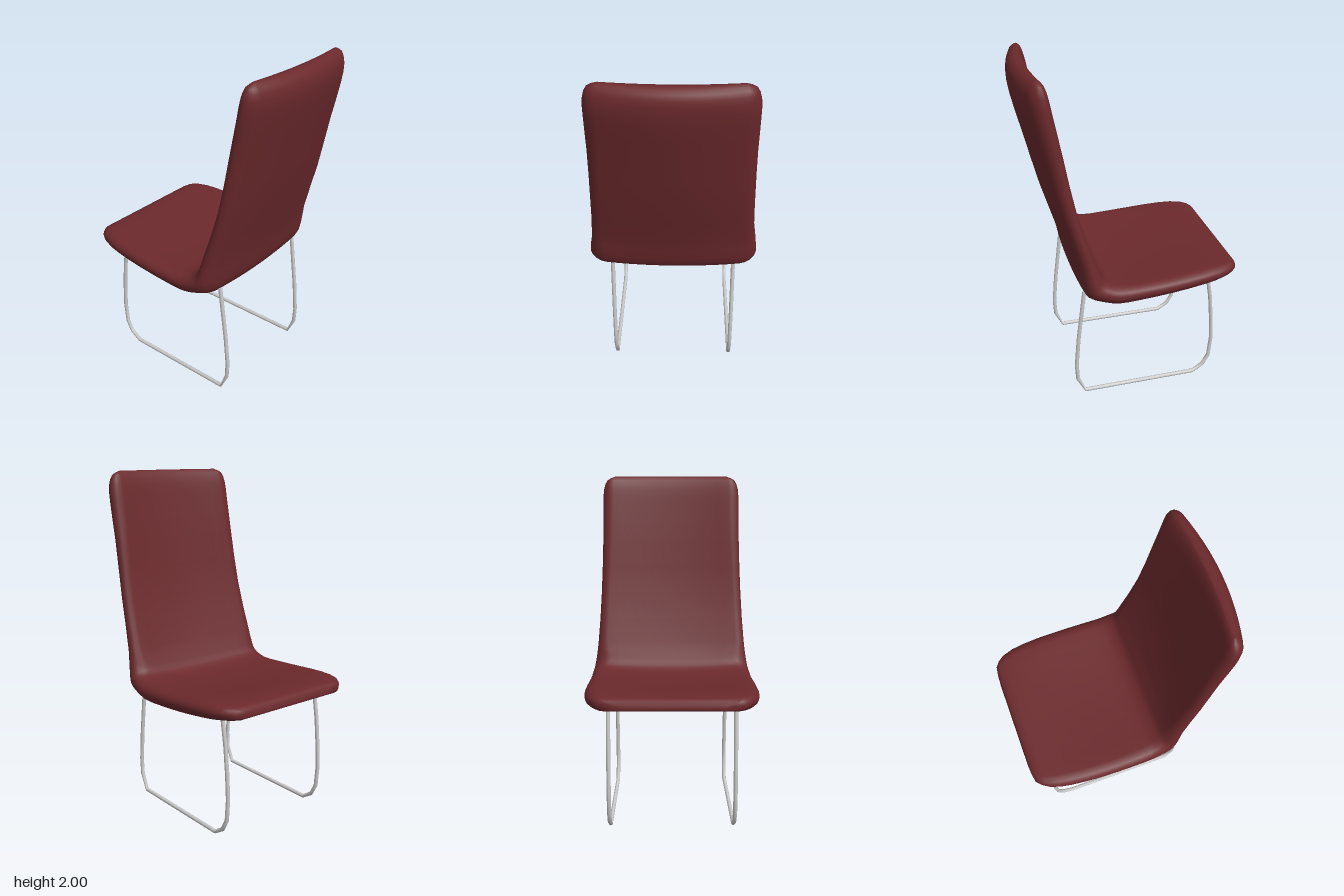
import * as THREE from 'three';

// Stations from the seat's front lip to the top of the back:
// inner face x, y, half width; outer face x, y, depth of the sideways curve
const stations = [
  [-0.617, 0.768, 0.28, -0.618, 0.757, 0],
  [-0.605, 0.805, 0.395, -0.605, 0.75, 0],
  [-0.55, 0.824, 0.455, -0.52, 0.728, 0.01],
  [-0.4, 0.825, 0.489, -0.4, 0.698, 0.03],
  [-0.2, 0.813, 0.503, -0.2, 0.665, 0.045],
  [0, 0.804, 0.505, 0, 0.645, 0.05],
  [0.12, 0.806, 0.502, 0.13, 0.643, 0.045],
  [0.175, 0.825, 0.497, 0.23, 0.675, 0.035],
  [0.2, 0.85, 0.49, 0.308, 0.715, 0.027],
  [0.217, 0.89, 0.48, 0.34, 0.79, 0.03],
  [0.247, 0.97, 0.467, 0.372, 0.94, 0.04],
  [0.337, 1.27, 0.449, 0.465, 1.25, 0.05],
  [0.396, 1.6, 0.439, 0.545, 1.575, 0.06],
  [0.436, 1.82, 0.438, 0.6, 1.8, 0.065],
  [0.456, 1.92, 0.433, 0.612, 1.91, 0.065],
  [0.478, 1.975, 0.41, 0.595, 1.972, 0.06],
  [0.508, 1.998, 0.36, 0.558, 1.998, 0.04],
];

// Closed cross-section: a soft pad with round edges, bowed towards the outer face
function crossSection(inner, outer) {
  const dir = new THREE.Vector2(outer.x - inner.x, outer.y - inner.y);
  const depth = dir.length();
  dir.normalize();
  const sag = Math.max(0, outer.z);
  const r = Math.max(0.002, (depth - sag) / 2);
  const rz = r * 1.4;
  const flat = inner.z - rz;
  const half = [];
  const arc = [10, 30, 50, 70].map(THREE.MathUtils.degToRad);
  for (const a of arc) half.push([-flat - rz * Math.cos(a), r * Math.sin(a)]);
  for (let i = 0; i <= 12; i++) half.push([flat * (i / 6 - 1), r]);
  for (const a of arc.reverse()) half.push([flat + rz * Math.cos(a), r * Math.sin(a)]);
  const ring = [...half.map(([z, h]) => [z, -h]), ...half.reverse()];
  return ring.map(([z, h]) => {
    const bow = sag * (1 - (z / inner.z) ** 2) * (0.8 + 0.2 * h / r);
    const d = r + h + bow;
    return [inner.x + dir.x * d, inner.y + dir.y * d, z];
  });
}

// Seat and back as one lofted cushion
function cushionGeometry() {
  const curve = (o) => new THREE.CatmullRomCurve3(
    stations.map((s) => new THREE.Vector3(s[o], s[o + 1], s[o + 2])), false, 'centripetal');
  const innerCurve = curve(0), outerCurve = curve(3);
  const steps = (stations.length - 1) * 2;
  const positions = [], index = [];
  let n = 0;
  for (let s = 0; s <= steps; s++) {
    const ring = crossSection(innerCurve.getPoint(s / steps), outerCurve.getPoint(s / steps));
    n = ring.length;
    positions.push(...ring.flat());
  }
  for (let s = 0; s < steps; s++) {
    for (let i = 0; i < n; i++) {
      const a = s * n + i, b = s * n + (i + 1) % n;
      index.push(a, b, a + n, b, b + n, a + n);
    }
  }
  // Thin closing strips at both ends
  const last = steps * n;
  for (let i = 0; i < n / 2 - 1; i++) {
    const m = n - 1 - i;
    index.push(i, m, i + 1, i + 1, m, m - 1);
    index.push(last + i, last + i + 1, last + m, last + i + 1, last + m - 1, last + m);
  }
  const geometry = new THREE.BufferGeometry();
  geometry.setAttribute('position', new THREE.Float32BufferAttribute(positions, 3));
  geometry.setIndex(index);
  geometry.computeVertexNormals();
  return geometry;
}

// Path of straight pieces, one tube segment for each
class Polyline extends THREE.Curve {
  constructor(points) {
    super();
    this.points = points;
  }
  getPoint(t, target = new THREE.Vector3()) {
    const f = t * (this.points.length - 1);
    const i = Math.min(Math.floor(f + 1e-9), this.points.length - 2);
    return target.lerpVectors(this.points[i], this.points[i + 1], f - i);
  }
  getPointAt(t, target) { return this.getPoint(t, target); }
  getTangentAt(t, target) { return this.getTangent(t, target); }
}

const legPath = [
  [-0.447, 0.735], [-0.475, 0.56], [-0.49, 0.4], [-0.498, 0.25], [-0.487, 0.12],
  [-0.45, 0.053], [-0.385, 0.012], [0.31, 0.014], [0.355, 0.11], [0.361, 0.21],
  [0.345, 0.4], [0.303, 0.735],
];

export function createModel() {
  const model = new THREE.Group();
  model.name = 'chair';

  const cushion = new THREE.Mesh(cushionGeometry(), new THREE.MeshStandardMaterial({ color: 0x6b292c }));
  cushion.name = 'seatAndBack';
  model.add(cushion);

  // Bent tube leg frame on each side
  const path = new Polyline(legPath.map(([x, y]) => new THREE.Vector3(x, y, 0)));
  const legGeometry = new THREE.TubeGeometry(path, legPath.length - 1, 0.012, 8);
  const metal = new THREE.MeshStandardMaterial({ color: 0xcccccc });
  for (const side of [-1, 1]) {
    const leg = new THREE.Mesh(legGeometry, metal);
    leg.name = side < 0 ? 'legFrameRight' : 'legFrameLeft';
    leg.position.z = side * 0.355;
    model.add(leg);
  }
  return model;
}
